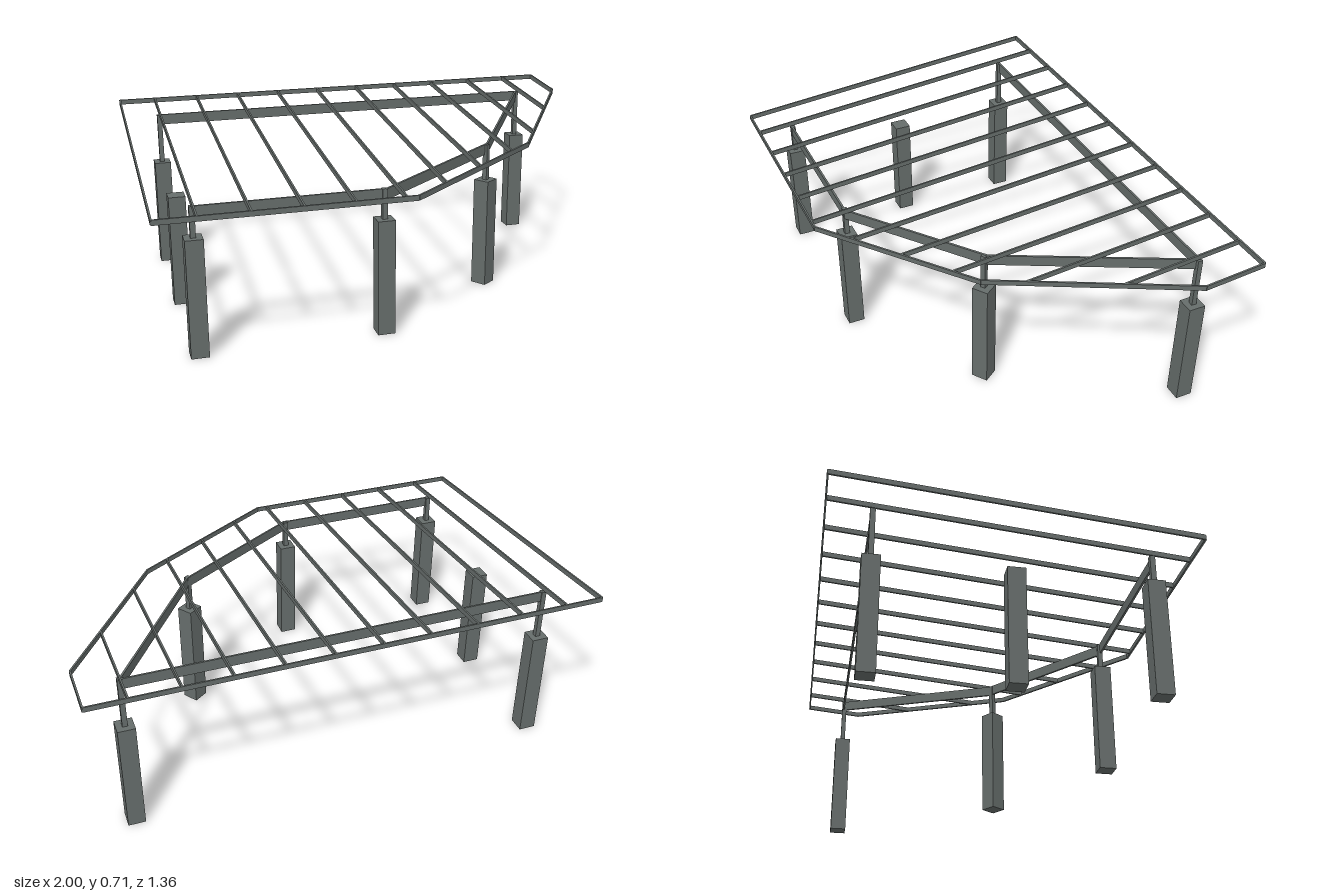
import * as THREE from 'three';

const SLOPE = 0.0875; // roof rises toward the back
const steel = new THREE.MeshStandardMaterial({ color: 0x666d6b });
steel.name = 'greySteel';

// Upright-sided bar between two plan points [x, z], sheared to the roof pitch
function bar(name, [ax, az], [bx, bz], width, depth, top) {
  const g = new THREE.BoxGeometry(Math.hypot(bx - ax, bz - az), depth, width);
  g.rotateY(-Math.atan2(bz - az, bx - ax));
  g.translate((ax + bx) / 2, top - depth / 2, (az + bz) / 2);
  const p = g.attributes.position;
  for (let i = 0; i < p.count; i++) p.setY(i, p.getY(i) - SLOPE * p.getZ(i));
  g.computeVertexNormals();
  const m = new THREE.Mesh(g, steel);
  m.name = name;
  return m;
}

function upright(name, x, z, size, y0, y1, turn) {
  const m = new THREE.Mesh(new THREE.BoxGeometry(size, y1 - y0, size), steel);
  m.position.set(x, (y0 + y1) / 2, z);
  m.rotation.y = turn;
  m.name = name;
  return m;
}

export function createModel() {
  const model = new THREE.Group();
  model.name = 'pergolaFrame';

  // Roof edge: a rectangle with its front left corner cut by two chamfers
  const edge = [[-0.997, -0.677], [0.997, -0.677], [0.997, -0.43], [0.568, 0.245], [-0.05, 0.677], [-0.997, 0.677]];
  const roof = new THREE.Group();
  roof.name = 'roofFrame';
  edge.forEach((a, i) => roof.add(bar('edgeBeam', a, edge[(i + 1) % edge.length], 0.007, 0.02, 0.6475)));

  // Rafters run from the back edge to the front outline
  const frontZ = (x) => {
    for (let i = 2; i < edge.length - 1; i++) {
      const [ax, az] = edge[i], [bx, bz] = edge[i + 1];
      if (x <= ax && x >= bx) return az + (bz - az) * (x - ax) / (bx - ax);
    }
    return 0.677;
  };
  for (let i = 0; i < 10; i++) {
    const x = -0.844 + i * 0.1875;
    roof.add(bar('rafter', [x, -0.677], [x, frontZ(x)], 0.007, 0.02, 0.6475));
  }
  model.add(roof);

  // Main beams below the rafters
  const back = [0.842, -0.511], bend = [0.426, 0.152], front = [-0.125, 0.528];
  const beams = [[[-0.844, -0.511], back], [back, bend], [bend, front], [front, [-0.844, 0.528]]];
  for (const [a, b] of beams) model.add(bar('mainBeam', a, b, 0.008, 0.043, 0.6225));

  // Piers, with slim posts carrying the beams; the middle pier stands free
  const piers = [
    [-0.844, 0.525, 0, true], [-0.844, 0.008, 0, false], [-0.844, -0.508, 0, true],
    [-0.133, 0.525, 0, true], [0.42, 0.162, 0.61, true], [0.841, -0.508, 0, true],
  ];
  for (const [x, z, turn, carries] of piers) {
    model.add(upright('pier', x, z, 0.068, 0, 0.458, turn));
    if (carries) model.add(upright('slimPost', x, z, 0.02, 0.458, 0.6215 - SLOPE * z, turn));
  }
  return model;
}
